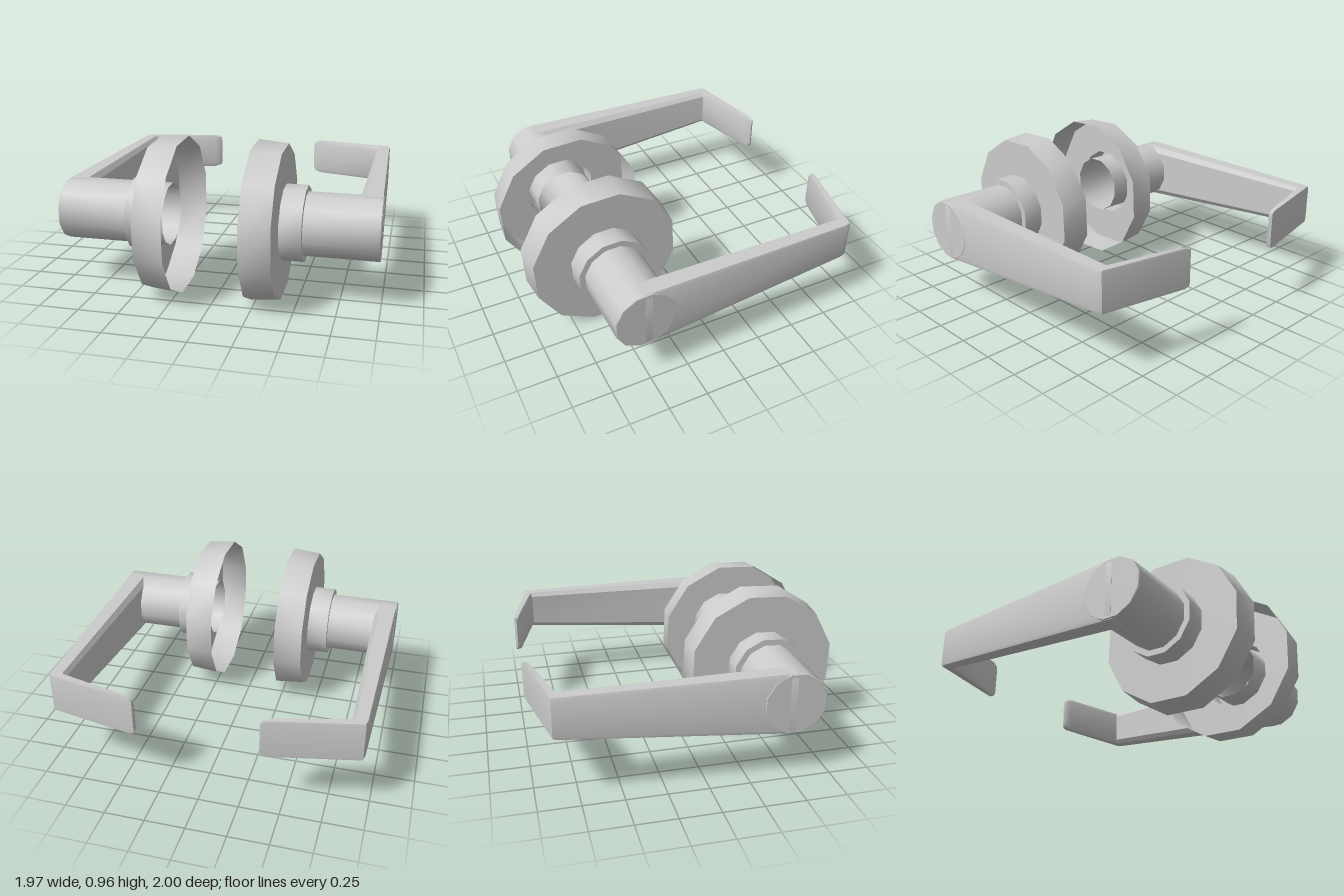
import * as THREE from 'three';
import { toCreasedNormals } from 'three/addons/utils/BufferGeometryUtils.js';

const AXIS_Y = 0.48, AXIS_Z = 0.517;
const material = new THREE.MeshStandardMaterial({ color: 0xcccccc, side: THREE.DoubleSide });

function part(name, geometry) {
  const mesh = new THREE.Mesh(toCreasedNormals(geometry, 0.6), material);
  mesh.name = name;
  return mesh;
}

// Twelve-sided turned part along x; profile is [radius, x]
function turned(name, profile) {
  const points = profile.map(([r, x]) => new THREE.Vector2(r, x));
  const geometry = new THREE.LatheGeometry(points, 12, THREE.MathUtils.degToRad(-12.5));
  geometry.rotateZ(-Math.PI / 2).translate(0, AXIS_Y, AXIS_Z);
  return part(name, geometry);
}

// Bar lofted through mitred stations with a bevelled section
function leverGeometry() {
  // [thickness fraction from inner to outer side, height fraction]
  const section = [
    [0, 0.1], [0.2, 0], [0.95, 0], [1, 0.06],
    [1, 0.94], [0.95, 1], [0.2, 1], [0, 0.9],
  ];
  // [inner x, inner z, outer x, outer z, bottom y, top y]
  const stations = [
    [0.84, 0.52, 0.986, 0.52, 0.287, 0.671],
    [0.86, -0.835, 0.954, -0.85, 0.407, 0.663],
    [0.858, -0.842, 0.945, -0.886, 0.41, 0.663],
    [0.425, -0.955, 0.41, -0.995, 0.412, 0.661],
    [0.39, -0.967, 0.38, -1.0, 0.425, 0.648],
    [0.378, -0.976, 0.37, -0.985, 0.45, 0.623],
  ];
  const n = section.length, last = (stations.length - 1) * n;
  const positions = [], index = [];
  for (const [ix, iz, ox, oz, y0, y1] of stations) {
    for (const [u, v] of section) {
      positions.push(ix + (ox - ix) * u, y0 + (y1 - y0) * v, iz + (oz - iz) * u);
    }
  }
  for (let i = 0; i < stations.length - 1; i++) {
    for (let j = 0; j < n; j++) {
      const a = i * n + j, b = i * n + (j + 1) % n;
      index.push(a, a + n, b + n, a, b + n, b);
    }
  }
  for (let j = 1; j < n - 1; j++) {
    index.push(0, j, j + 1, last, last + j + 1, last + j);
  }
  const geometry = new THREE.BufferGeometry();
  geometry.setAttribute('position', new THREE.Float32BufferAttribute(positions, 3));
  geometry.setIndex(index);
  return geometry;
}

function handle(name) {
  const group = new THREE.Group();
  group.name = name;
  group.add(
    // hollow cover plate, open towards the door
    turned('rose', [[0.491, 0.22], [0.474, 0.403], [0.233, 0.403]]),
    turned('collar', [[0.233, 0.403], [0.233, 0.537], [0.195, 0.537]]),
    // hollow shank with a closed outer end
    turned('shank', [[0.195, 0.31], [0.195, 0.98], [0.19, 0.985], [0, 0.985]]),
    part('lever', leverGeometry()),
  );
  return group;
}

export function createModel() {
  const model = new THREE.Group();
  model.name = 'doorLeverSet';
  const left = handle('leftHandle');
  const right = handle('rightHandle');
  right.scale.x = -1;
  model.add(left, right);
  return model;
}
